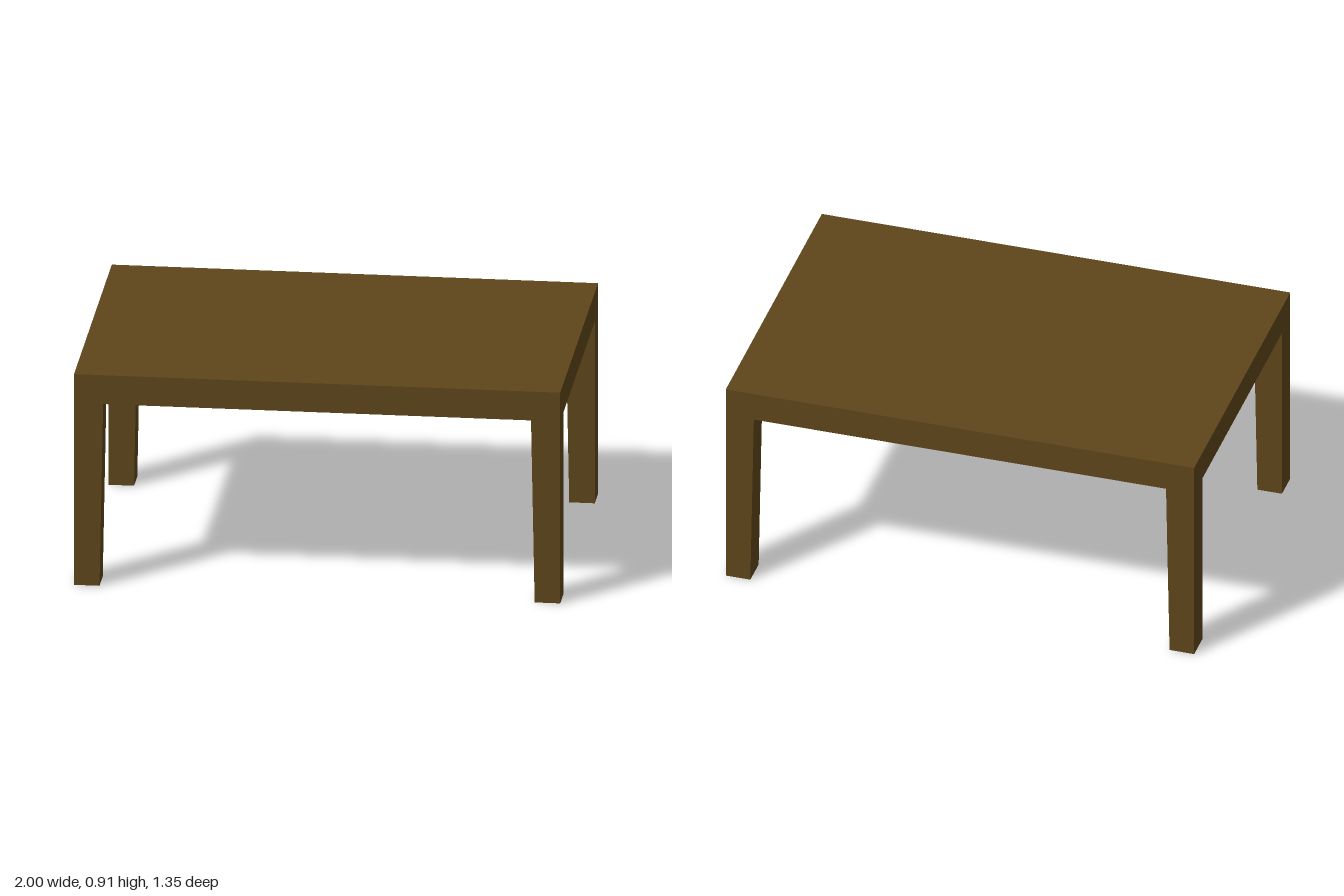
import * as THREE from 'three';

const HALF_W = 1, HALF_D = 0.677, HEIGHT = 0.913, UNDERSIDE = 0.788;
const LEG_TOP = 0.12, LEG_FOOT = 0.105, LEG_DEPTH = 0.117;

const wood = new THREE.MeshStandardMaterial({ color: 0x5e461b });

// Leg: vertical outer side, inner side tapering slightly toward the foot
function makeLeg(sx, sz) {
  const profile = new THREE.Shape([
    [HALF_W, 0], [HALF_W, UNDERSIDE], [HALF_W - LEG_TOP, UNDERSIDE], [HALF_W - LEG_FOOT, 0],
  ].map(([x, y]) => new THREE.Vector2(sx * x, y)));
  const geometry = new THREE.ExtrudeGeometry(profile, { depth: LEG_DEPTH, bevelEnabled: false });
  geometry.translate(0, 0, sz > 0 ? HALF_D - LEG_DEPTH : -HALF_D);
  const leg = new THREE.Mesh(geometry, wood);
  leg.name = (sz > 0 ? 'front' : 'back') + (sx > 0 ? 'Left' : 'Right') + 'Leg';
  return leg;
}

export function createModel() {
  const table = new THREE.Group();
  table.name = 'table';

  // Thick solid top, flush with the legs
  const thickness = HEIGHT - UNDERSIDE;
  const top = new THREE.Mesh(new THREE.BoxGeometry(HALF_W * 2, thickness, HALF_D * 2), wood);
  top.position.y = UNDERSIDE + thickness / 2;
  top.name = 'tableTop';
  table.add(top);

  // One leg per corner
  for (const sx of [-1, 1]) for (const sz of [-1, 1]) table.add(makeLeg(sx, sz));
  return table;
}
